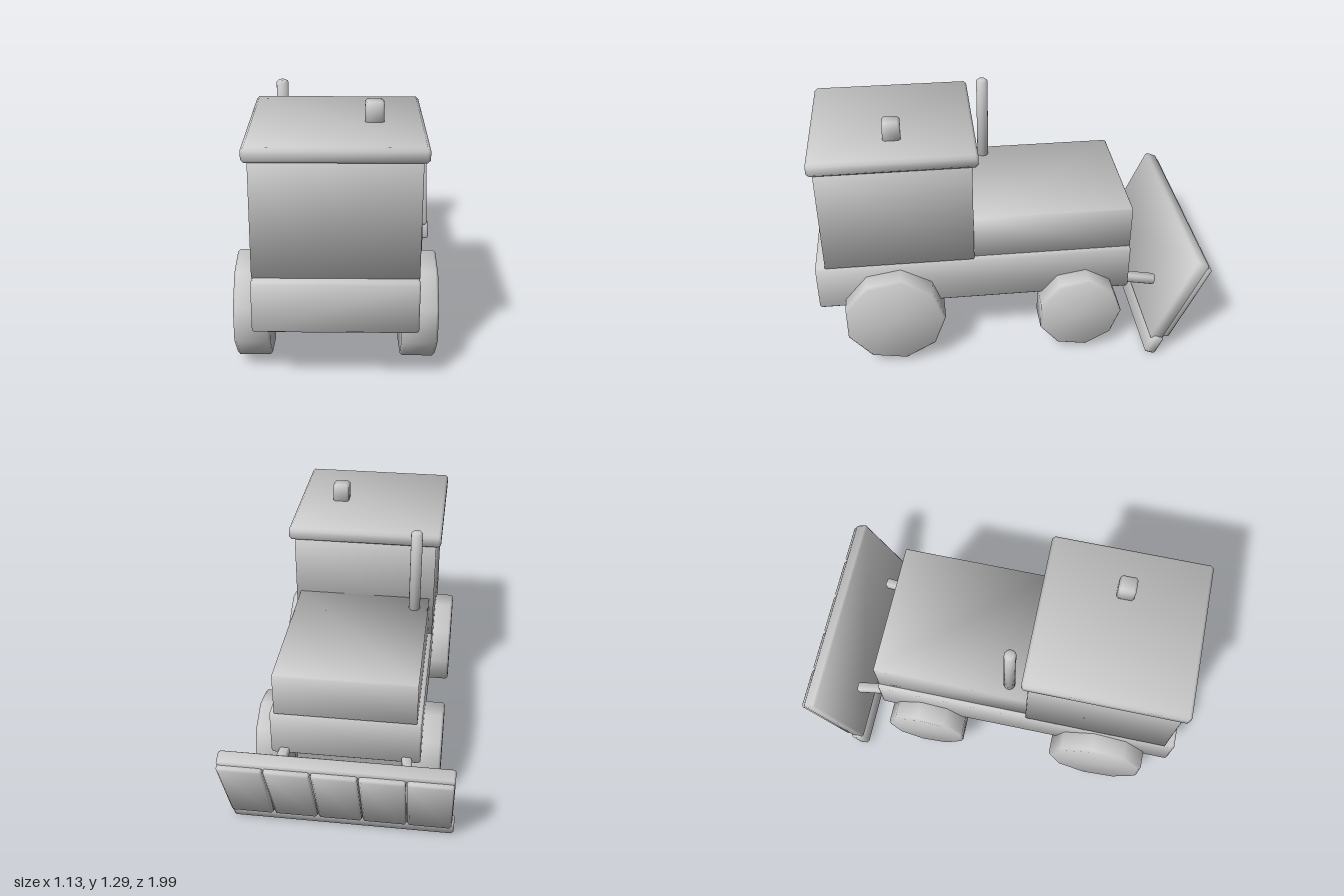
import * as THREE from 'three';

const material = new THREE.MeshStandardMaterial({ color: 0xcccccc });

function add(parent, name, geometry) {
  const mesh = new THREE.Mesh(geometry, material);
  mesh.name = name;
  parent.add(mesh);
  return mesh;
}

// Chamfered box shaded smooth: three vertices per corner, one for each axis,
// whose normals lean outward. Where isHard(signs) holds the corner is fully averaged.
function chamferBox(size, bevel, isHard = () => false) {
  const positions = [];
  const normals = [];
  for (let c = 0; c < 8; c++) {
    const signs = [0, 1, 2].map((k) => ((c >> k) & 1 ? 1 : -1));
    const lean = isHard(signs) ? 1 : 0.43;
    for (let axis = 0; axis < 3; axis++) {
      const n = new THREE.Vector3();
      signs.forEach((s, k) => {
        positions.push(s * (size[k] / 2 - (k === axis ? 0 : bevel)));
        n.setComponent(k, s * (k === axis ? 1 : lean));
      });
      normals.push(...n.normalize().toArray());
    }
  }

  const index = [];
  const at = (i) => new THREE.Vector3().fromArray(positions, i * 3);
  const tri = (a, b, c) => {
    const [p, q, r] = [at(a), at(b), at(c)];
    const outward = q.clone().sub(p).cross(r.clone().sub(p)).dot(p.add(q).add(r)) > 0;
    index.push(a, ...(outward ? [b, c] : [c, b]));
  };
  const quad = (a, b, c, d) => { tri(a, b, c); tri(a, c, d); };
  for (let c = 0; c < 8; c++) tri(3 * c, 3 * c + 1, 3 * c + 2);
  for (let a = 0; a < 3; a++) {
    const b = (a + 1) % 3;
    const d = (a + 2) % 3;
    const [A, B, D] = [1 << a, 1 << b, 1 << d];
    for (const s of [0, A]) quad(...[s, s + B, s + B + D, s + D].map((c) => 3 * c + a));
    for (const s of [0, B, D, B + D]) quad(3 * s + b, 3 * (s + A) + b, 3 * (s + A) + d, 3 * s + d);
  }

  const geometry = new THREE.BufferGeometry();
  geometry.setAttribute('position', new THREE.Float32BufferAttribute(positions, 3));
  geometry.setAttribute('normal', new THREE.Float32BufferAttribute(normals, 3));
  geometry.setIndex(index);
  return geometry;
}

// Chamfered box given by its extents on each axis
function block(parent, name, [x0, x1], [y0, y1], [z0, z1], bevel, isHard) {
  const mesh = add(parent, name, chamferBox([x1 - x0, y1 - y0, z1 - z0], bevel, isHard));
  mesh.position.set((x0 + x1) / 2, (y0 + y1) / 2, (z0 + z1) / 2);
  return mesh;
}

// Chamfered drum along y, shaded smooth over its rim
function drum(radius, height, bevel, sides) {
  const h = height / 2;
  const [s, c] = [Math.sin(Math.PI / 8), Math.cos(Math.PI / 8)];
  // Radius, height, then the normal's radial and axial parts
  const half = [[0, h, 0, 1], [radius - bevel, h, s, c], [radius, h - bevel, c, s]];
  const profile = [...half.map(([r, y, nr, ny]) => [r, -y, nr, -ny]), ...half.reverse()];
  const geometry = new THREE.LatheGeometry(profile.map(([r, y]) => new THREE.Vector2(r, y)), sides);
  const normal = geometry.attributes.normal;
  for (let i = 0; i < normal.count; i++) {
    const phi = (Math.floor(i / profile.length) / sides) * Math.PI * 2;
    const [, , nr, ny] = profile[i % profile.length];
    normal.setXYZ(i, nr * Math.sin(phi), ny, nr * Math.cos(phi));
  }
  return geometry;
}

export function createModel() {
  const model = new THREE.Group();
  model.name = 'bulldozer';

  // Chassis, hood and cab
  block(model, 'chassis', [-0.377, 0.377], [0.328, 0.578], [-0.61, 1.0], 0.01);
  block(model, 'hood', [-0.354, 0.354], [0.576, 0.808], [-0.609, 0.201], 0.005, (s) => s[2] > 0);
  block(model, 'cab', [-0.377, 0.377], [0.576, 1.135], [0.2, 0.95], 0.005, (s) => s[1] < 0);
  block(model, 'roof', [-0.402, 0.402], [1.13, 1.2], [0.17, 0.976], 0.014);
  block(model, 'beacon', [0.13, 0.218], [1.19, 1.294], [0.53, 0.618], 0.012);

  // Exhaust pipe
  const exhaust = add(model, 'exhaust', drum(0.03, 0.47, 0.01, 16));
  exhaust.position.set(-0.28, 1.025, 0.094);

  // Nine-sided wheels, larger at the cab end
  const axles = [
    { name: 'frontWheel', radius: 0.26, y: 0.286, z: 0.62 },
    { name: 'rearWheel', radius: 0.219, y: 0.246, z: -0.34 },
  ];
  for (const { name, radius, y, z } of axles) {
    for (const side of [-1, 1]) {
      const geometry = drum(radius, 0.17, 0.012, 9);
      geometry.rotateY(Math.PI); // one corner points to -z
      geometry.rotateZ(Math.PI / 2);
      const wheel = add(model, name, geometry);
      wheel.position.set(side * 0.393, y, z);
    }
  }

  // Push arms, splayed outward and sloping down to the blade
  for (const side of [-1, 1]) {
    const arm = add(model, 'pushArm', chamferBox([0.05, 0.048, 0.3], 0.008));
    arm.position.set(side * 0.31, 0.343, -0.618);
    arm.rotation.set(-0.1, -side * 0.13, 0, 'YXZ');
  }

  // Tilted blade: back plate, cutting edge and five face panels
  const blade = new THREE.Group();
  blade.name = 'blade';
  blade.position.set(0, 0.134, -0.717);
  blade.rotation.x = -0.409;
  model.add(blade);
  block(blade, 'bladePlate', [-0.555, 0.553], [-0.028, 0.495], [-0.072, 0], 0.01);
  block(blade, 'cuttingEdge', [-0.566, 0.563], [-0.116, 0], [-0.076, -0.01], 0.012);
  const pitch = 0.222;
  for (let i = 0; i < 5; i++) {
    const x = (i - 2) * pitch;
    block(blade, 'bladePanel', [x - 0.108, x + 0.108], [0.005, 0.478], [-0.098, -0.05], 0.01);
  }

  return model;
}
